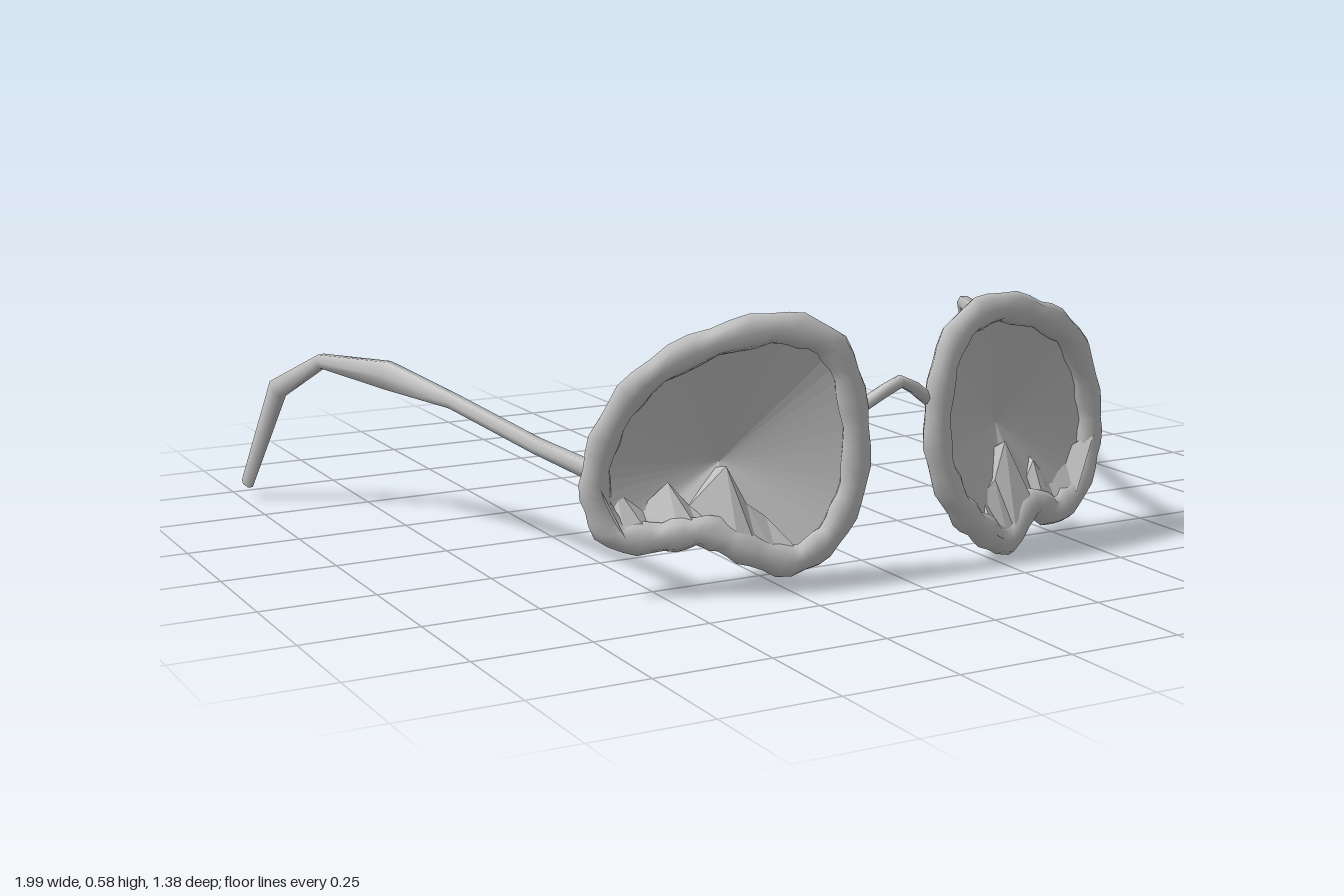
import * as THREE from 'three';

const V = (x, y, z) => new THREE.Vector3(x, y, z);

// Sweep an oval section along stations { p, a (along side axis), b (along ref axis) }
function sweep(stations, ref, sides, closed) {
  const pos = [], idx = [], n = stations.length;
  stations.forEach(({ p, a, b }, i) => {
    const prev = stations[closed ? (i + n - 1) % n : Math.max(i - 1, 0)].p;
    const next = stations[closed ? (i + 1) % n : Math.min(i + 1, n - 1)].p;
    const t = next.clone().sub(prev).normalize();
    const side = ref.clone().cross(t).normalize();
    const up = t.clone().cross(side);
    for (let k = 0; k < sides; k++) {
      const w = k / sides * Math.PI * 2;
      const q = p.clone().addScaledVector(side, a * Math.cos(w)).addScaledVector(up, b * Math.sin(w));
      pos.push(q.x, q.y, q.z);
    }
  });
  for (let i = 0; i < (closed ? n : n - 1); i++) {
    for (let k = 0; k < sides; k++) {
      const A = i * sides + k, B = i * sides + (k + 1) % sides;
      const C = ((i + 1) % n) * sides + k, D = ((i + 1) % n) * sides + (k + 1) % sides;
      idx.push(A, B, C, B, D, C);
    }
  }
  // End caps
  if (!closed) for (let k = 1; k < sides - 1; k++) {
    const e = (n - 1) * sides;
    idx.push(0, k + 1, k, e, e + k, e + k + 1);
  }
  const g = new THREE.BufferGeometry();
  g.setAttribute('position', new THREE.Float32BufferAttribute(pos, 3));
  g.setIndex(idx);
  g.computeVertexNormals();
  return g;
}

// Faceted surface from a list of triangles' corner points
function facets(points) {
  const g = new THREE.BufferGeometry().setFromPoints(points);
  g.computeVertexNormals();
  return g;
}

// Wrap of the front: depth as a function of x
const wrap = [[-0.66, 0.49], [-0.5, 0.555], [-0.35, 0.615], [-0.2, 0.65], [0, 0.67],
  [0.12, 0.66], [0.3, 0.615], [0.45, 0.565], [0.63, 0.49]];
function depth(x) {
  let i = 0;
  while (i < wrap.length - 2 && x > wrap[i + 1][0]) i++;
  const [x0, z0] = wrap[i], [x1, z1] = wrap[i + 1];
  return z0 + (z1 - z0) * (x - x0) / (x1 - x0);
}

// Outer outlines, apex of the dished lens, and ragged folds [x, peakY, backY, backZ]
const eyes = [
  {
    name: 'right', apex: V(-0.36, 0.28, 0.53),
    outline: [[-0.25, 0.595], [-0.14, 0.54], [-0.09, 0.4], [-0.09, 0.22], [-0.15, 0.1], [-0.24, 0.05],
      [-0.35, 0.09], [-0.43, 0.13], [-0.52, 0.12], [-0.62, 0.13], [-0.66, 0.22], [-0.64, 0.35], [-0.56, 0.48], [-0.41, 0.57]],
    folds: [[-0.63, 0.22, 0.2, 0.49], [-0.58, 0.25, 0.21, 0.51], [-0.53, 0.2, 0.19, 0.51], [-0.48, 0.25, 0.22, 0.49],
      [-0.44, 0.2, 0.19, 0.5], [-0.37, 0.28, 0.24, 0.42], [-0.33, 0.2, 0.2, 0.48], [-0.29, 0.17, 0.17, 0.47], [-0.23, 0.09, 0.1, 0.6]],
  },
  {
    name: 'left', apex: V(0.32, 0.29, 0.53),
    outline: [[0.21, 0.595], [0.1, 0.54], [0.055, 0.4], [0.06, 0.25], [0.12, 0.13], [0.2, 0.06], [0.29, 0.015],
      [0.38, 0.09], [0.47, 0.05], [0.57, 0.09], [0.62, 0.2], [0.61, 0.33], [0.53, 0.48], [0.39, 0.56]],
    folds: [[0.19, 0.09, 0.1, 0.6], [0.24, 0.15, 0.14, 0.5], [0.28, 0.18, 0.18, 0.46], [0.31, 0.26, 0.21, 0.48],
      [0.37, 0.14, 0.15, 0.47], [0.41, 0.2, 0.24, 0.43], [0.46, 0.15, 0.18, 0.49], [0.52, 0.2, 0.2, 0.5], [0.59, 0.18, 0.18, 0.5]],
  },
];

// Temple stations: [x, y, z, half width, half height]
const temples = {
  rightTemple: [[-0.635, 0.285, 0.5, 0.02, 0.02], [-0.665, 0.3, 0.3, 0.018, 0.018], [-0.735, 0.35, 0.02, 0.018, 0.018],
    [-0.8, 0.375, -0.2, 0.018, 0.036], [-0.88, 0.38, -0.41, 0.018, 0.018], [-0.945, 0.3, -0.54, 0.016, 0.028], [-0.985, 0.05, -0.68, 0.012, 0.018]],
  leftTemple: [[0.605, 0.285, 0.5, 0.02, 0.02], [0.64, 0.3, 0.3, 0.018, 0.018], [0.71, 0.35, 0.02, 0.018, 0.018],
    [0.78, 0.375, -0.2, 0.018, 0.036], [0.87, 0.38, -0.41, 0.018, 0.018], [0.972, 0.31, -0.545, 0.02, 0.022], [0.967, 0.055, -0.68, 0.027, 0.016]],
};

export function createModel() {
  const model = new THREE.Group();
  model.name = 'glasses';
  const grey = new THREE.MeshStandardMaterial({ color: 0xbfbfbf, side: THREE.DoubleSide });
  grey.name = 'grey';
  const add = (name, geometry) => {
    const mesh = new THREE.Mesh(geometry, grey);
    mesh.name = name;
    model.add(mesh);
  };

  for (const { name, apex, outline, folds } of eyes) {
    // Rim: the outline drawn in by half its thickness, with an uneven inner edge
    const mid = outline.map(([x, y]) => V(apex.x + (x - apex.x) * 0.89, 0.32 + (y - 0.32) * 0.88, 0));
    const curve = new THREE.CatmullRomCurve3(mid, true, 'centripetal');
    const path = curve.getPoints(56).slice(0, -1);
    path.forEach(p => { p.z = depth(p.x); });
    add(name + 'Rim', sweep(path.map((p, i) => ({
      p, a: 0.033 + 0.004 * Math.sin(i * 1.9), b: 0.024,
    })), V(0, 0, 1), 8, true));

    // Dished lens fanning out from its apex
    const lens = [];
    path.forEach((p, i) => lens.push(apex, p, path[(i + 1) % path.length]));
    add(name + 'Lens', facets(lens));

    // Ragged folds along the lower rim: front foot, peak, back ridge, rear foot
    const rows = folds.map(([x, peakY, backY, backZ]) => {
      const foot = path.reduce((best, p) =>
        p.y < 0.3 && Math.abs(p.x - x) < Math.abs(best.x - x) ? p : best, V(9, 0, 0));
      return [
        V(x, foot.y, foot.z + 0.022),
        V(x, peakY, depth(x) - 0.03),
        V(x, backY, backZ),
        V(x, foot.y - 0.02, foot.z - 0.02),
      ];
    });
    const torn = [];
    for (let i = 0; i < rows.length - 1; i++) {
      for (let j = 0; j < 4; j++) {
        const a = rows[i][j], b = rows[i][(j + 1) % 4], c = rows[i + 1][j], d = rows[i + 1][(j + 1) % 4];
        torn.push(a, c, b, b, c, d);
      }
    }
    add(name + 'RimFolds', facets(torn));
  }

  // Bridge
  const bridge = [[-0.11, 0.385, 0.655], [-0.05, 0.42, 0.665], [-0.015, 0.437, 0.67], [0.02, 0.42, 0.665], [0.08, 0.375, 0.655]];
  add('bridge', sweep(bridge.map(([x, y, z]) => ({ p: V(x, y, z), a: 0.014, b: 0.014 })), V(0, 1, 0), 6, false));

  // Temples with bent ear ends
  for (const [name, list] of Object.entries(temples)) {
    add(name, sweep(list.map(([x, y, z, a, b]) => ({ p: V(x, y, z), a, b })), V(0, 1, 0), 6, false));
  }
  return model;
}
